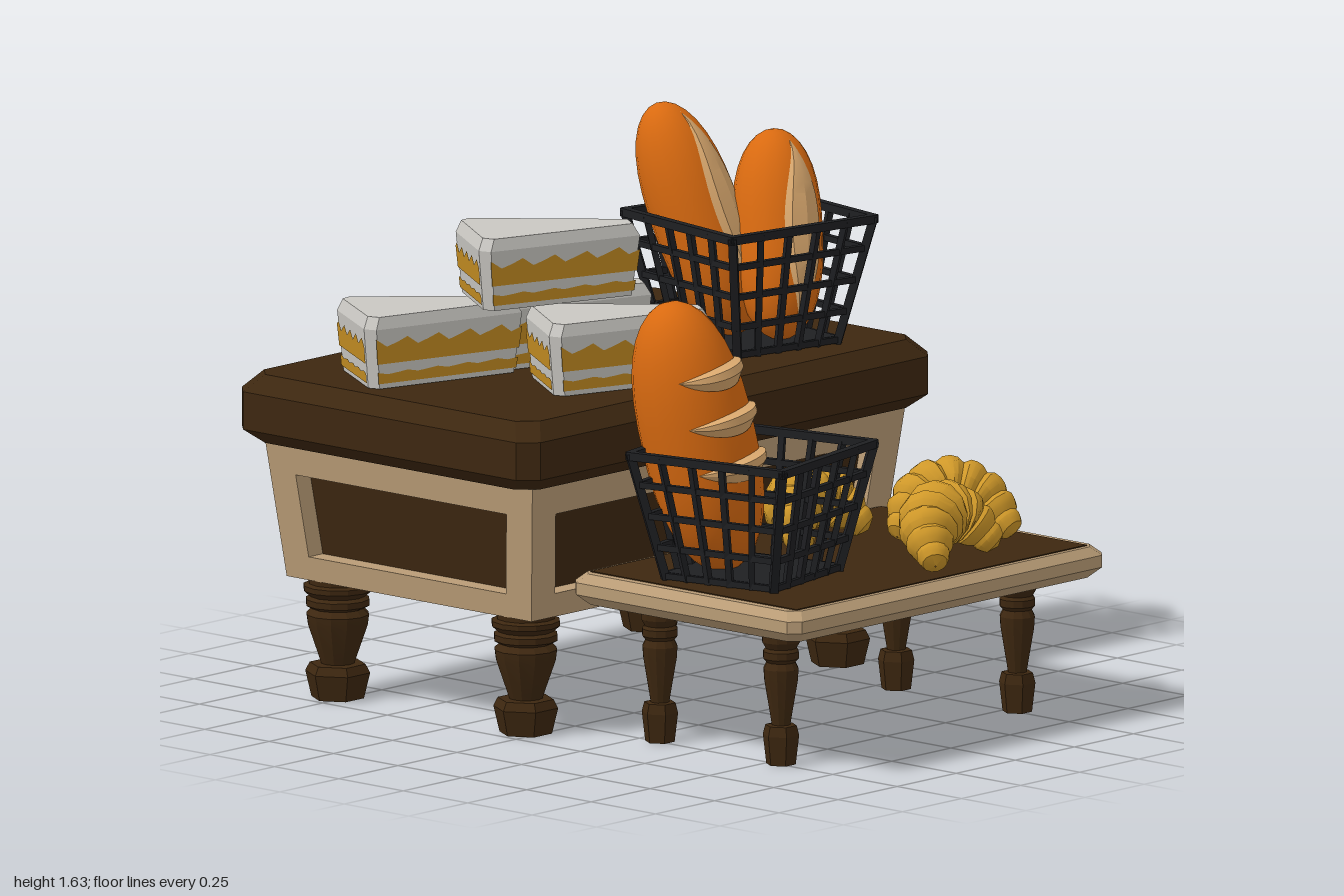
import * as THREE from 'three';
import { mergeGeometries, toCreasedNormals } from 'three/addons/utils/BufferGeometryUtils.js';

const V = (x, y, z) => new THREE.Vector3(x, y, z);
const material = (name, color, double) => {
  const m = new THREE.MeshStandardMaterial({ color });
  m.name = name;
  if (double) m.side = THREE.DoubleSide;
  return m;
};

// Skin over a list of rings (or open rows) of points, counter-clockwise seen from the last ring
function loft(rings, { closed = true, start = false, end = false, crease = 0 } = {}) {
  const p = [];
  const tri = (...pts) => pts.forEach((v) => p.push(v.x, v.y, v.z));
  const n = rings[0].length;
  for (let r = 0; r < rings.length - 1; r++) {
    const a = rings[r], b = rings[r + 1];
    for (let i = 0; i < (closed ? n : n - 1); i++) {
      const j = (i + 1) % n;
      tri(a[i], a[j], b[j]);
      tri(a[i], b[j], b[i]);
    }
  }
  const first = rings[0], last = rings[rings.length - 1];
  for (let i = 1; i < n - 1; i++) {
    if (start) tri(first[0], first[i + 1], first[i]);
    if (end) tri(last[0], last[i], last[i + 1]);
  }
  const g = new THREE.BufferGeometry();
  g.setAttribute('position', new THREE.Float32BufferAttribute(p, 3));
  g.computeVertexNormals();
  return crease ? toCreasedNormals(g, crease) : g;
}

// Square bar between two points
function bar(a, b, w) {
  const g = new THREE.BoxGeometry(w, w, a.distanceTo(b) + w * 0.6);
  const o = new THREE.Object3D();
  o.position.copy(a).lerp(b, 0.5);
  o.lookAt(b);
  o.updateMatrix();
  return g.applyMatrix4(o.matrix);
}

export function createModel() {
  const root = new THREE.Group();
  root.name = 'bakeryDisplay';
  const darkWood = material('dark wood', 0x3d2710);
  const paleWood = material('pale wood', 0xb99c76);
  const wire = material('black basket', 0x1e1f22);
  const crust = material('orange crust', 0xd96a10);
  const crumb = material('cream crumb', 0xd9a86e, true);
  const pastry = material('golden pastry', 0xcf9829);
  const bread = material('white bread', 0xc9c7c2);
  const filling = material('yellow filling', 0xc48d22, true);
  const add = (name, geo, mat, parent = root) => {
    const m = new THREE.Mesh(geo, mat);
    m.name = name;
    parent.add(m);
    return m;
  };

  // Slab with cut corners; steps are [y, inset]
  const slab = (cx, cz, hx, hz, cut, steps) => loft(steps.map(([y, d]) => {
    const x = hx - d, z = hz - d;
    return [[x, z - cut], [x, -z + cut], [x - cut, -z], [-x + cut, -z],
      [-x, -z + cut], [-x, z - cut], [-x + cut, z], [x - cut, z]].map(([a, b]) => V(cx + a, y, cz + b));
  }), { start: true, end: true });

  // Big table top
  const cx = -0.42;
  add('tableTop', slab(cx, 0, 0.58, 0.87, 0.05, [[0.75, 0.045], [0.79, 0], [0.9, 0], [0.95, 0.045]]), darkWood);

  // Tapered apron with a recessed dark panel on each side
  const apron = new THREE.Group();
  apron.name = 'apron';
  apron.position.x = cx;
  root.add(apron);
  for (let k = 0; k < 4; k++) {
    const side = new THREE.Group();
    side.rotation.y = k * Math.PI / 2;
    apron.add(side);
    const [w, d] = k % 2 ? [0.79, 0.52] : [0.52, 0.79];
    const quad = (inset, y0, y1, deep) => [[-1, y0], [1, y0], [1, y1], [-1, y1]].map(([s, y]) => {
      const taper = (0.76 - y) * 0.11;
      return V(s * (w - inset - taper), y, d - taper - deep);
    });
    const hole = quad(0.1, 0.42, 0.66, 0), back = quad(0.1, 0.42, 0.66, 0.06);
    add('apronFrame', loft([quad(0, 0.35, 0.76, 0), hole, back]), paleWood, side);
    add('apronPanel', loft([back, back], { end: true }), darkWood, side);
  }
  const floor = new THREE.PlaneGeometry(0.95, 1.49).rotateX(Math.PI / 2).translate(0, 0.35, 0);
  add('apronBottom', floor, paleWood, apron);

  // Side table
  add('sideTableTop', slab(0.56, -0.005, 0.44, 0.665, 0.03, [[0.4, 0.03], [0.43, 0], [0.465, 0], [0.49, 0.025]]), paleWood);
  add('sideTableInlay', new THREE.BoxGeometry(0.8, 0.006, 1.23).translate(0.56, 0.49, -0.005), darkWood);

  // Turned legs on six-sided feet
  const lathe = (pts, sides) => toCreasedNormals(new THREE.LatheGeometry(pts.map(([r, y]) => new THREE.Vector2(r, y)), sides), 0.3);
  const legTurning = [[0.045, 0.09], [0.055, 0.12], [0.088, 0.215], [0.092, 0.245], [0.075, 0.262],
    [0.093, 0.272], [0.093, 0.29], [0.08, 0.298], [0.1, 0.315], [0.1, 0.33], [0.085, 0.336], [0.085, 0.36]];
  const legFoot = [[0, 0], [0.077, 0], [0.095, 0.075], [0.082, 0.1], [0, 0.105]];
  const addLeg = (name, x, z, sr, sy) => {
    const g = new THREE.Group();
    g.name = name;
    g.position.set(x, 0, z);
    g.scale.set(sr, sy, sr);
    root.add(g);
    add('legTurning', lathe(legTurning, 12), darkWood, g);
    add('legFoot', lathe(legFoot, 6), darkWood, g);
  };
  for (const z of [0.66, -0.66]) for (const x of [-0.775, -0.045]) addLeg('tableLeg', x, z, 1, 1);
  for (const z of [0.49, -0.51]) for (const x of [0.32, 0.79]) addLeg('sideTableLeg', x, z, 0.56, 1.14);

  // Wire baskets with flared sides
  function basket(x, y, z, turn) {
    const parts = [];
    const at = (s, h, k) => {
      const half = 0.18 + 0.075 * h;
      return V(s * half, h * 0.37, half).applyAxisAngle(V(0, 1, 0), k * Math.PI / 2);
    };
    for (let k = 0; k < 4; k++) {
      for (const h of [0.02, 0.25, 0.5, 0.75, 0.98]) parts.push(bar(at(-1, h, k), at(1, h, k), h > 0.9 ? 0.024 : 0.018));
      for (const s of [-1, -0.6, -0.2, 0.2, 0.6]) parts.push(bar(at(s, 0, k), at(s, 0.98, k), s === -1 ? 0.024 : 0.018));
    }
    parts.push(new THREE.BoxGeometry(0.36, 0.015, 0.36).translate(0, 0.01, 0));
    const m = add('basket', mergeGeometries(parts), wire);
    m.position.set(x, y, z);
    m.rotation.y = turn;
  }
  basket(-0.2, 0.955, -0.455, -0.175);
  basket(0.54, 0.497, 0.34, 0.2);

  // Loaves: rounded body from a to b, with scores on the side facing f
  function loaf(a, b, R, f, scores) {
    const axis = b.clone().sub(a), half = axis.length() / 2, mid = a.clone().lerp(b, 0.5);
    axis.normalize();
    const F = f.clone().addScaledVector(axis, -f.dot(axis)).normalize(), G = axis.clone().cross(F);
    const point = (t, ang, off = 0) => {
      const r = R * Math.sqrt(Math.max(0, 1 - Math.abs(t) ** 2.6)) + off;
      return mid.clone().addScaledVector(axis, t * half).addScaledVector(F, r * Math.cos(ang)).addScaledVector(G, r * Math.sin(ang));
    };
    const rings = [];
    for (let k = 0; k <= 18; k++) {
      rings.push(Array.from({ length: 20 }, (_, i) => point(-Math.cos(k / 18 * Math.PI), i / 20 * Math.PI * 2)));
    }
    add('loaf', loft(rings, { crease: 0.8 }), crust);
    for (const score of scores) {
      const rows = [];
      for (let k = 0; k <= 16; k++) {
        const s = k / 8 - 1, w = 1 - s * s;
        rows.push([[-1, 0.002], [-0.7, 1], [0, 1], [1, 0.1]].map(([c, o]) => point(...score(s, c * w, 0.003 + o * w))));
      }
      add('loafScore', loft(rows, { closed: false, crease: 0.5 }), crumb);
    }
  }
  const longScore = [(s, c, o) => [0.02 + s * 0.86, c * 0.5, o * 0.012]];
  const crossScores = [0.44, 0.1, -0.24].map((t) => (s, c, o) => [t + 0.05 * s * s - c * 0.085, s * 1.0, o * 0.028]);
  loaf(V(-0.22, 0.97, -0.43), V(-0.45, 1.63, -0.335), 0.13, V(1, 0.2, -0.15), longScore);
  loaf(V(-0.08, 0.97, -0.46), V(-0.22, 1.55, -0.58), 0.13, V(1, 0.2, 0.15), longScore);
  loaf(V(0.465, 0.5, 0.36), V(0.36, 1.29, 0.5), 0.165, V(1, 0, -0.1), crossScores);

  // Croissants: arched crescents with stepped segments
  function croissant(path) {
    const ys = [0.525, 0.61, 0.635, 0.61, 0.525];
    const curve = new THREE.CatmullRomCurve3(path.map(([x, z], i) => V(x, ys[i], z)));
    const segs = 9, sub = 4, n = segs * sub, sides = 12;
    const g = new THREE.TubeGeometry(curve, n, 1, sides, false);
    const pos = g.attributes.position, v = V(0, 0, 0);
    for (let i = 0; i <= n; i++) {
      const s = i / n * 2 - 1, c = curve.getPointAt(i / n);
      // Each segment overlaps the next one towards the tips
      const k = s < 0 ? i % sub : (n - i) % sub;
      const step = [0.86, 0.99, 1.02, 1.0][k];
      const r = i === 0 || i === n ? 0.002 : (0.03 + 0.068 * (1 - Math.abs(s) ** 1.8)) * step;
      for (let j = 0; j <= sides; j++) {
        const q = i * (sides + 1) + j;
        v.fromBufferAttribute(pos, q).sub(c).multiplyScalar(r).add(c);
        pos.setXYZ(q, v.x, Math.max(v.y, 0.494), v.z);
      }
    }
    add('croissant', toCreasedNormals(g, 0.6), pastry);
  }
  croissant([[0.8, -0.49], [0.68, -0.475], [0.6, -0.41], [0.575, -0.32], [0.59, -0.22]]);
  croissant([[0.46, -0.24], [0.375, -0.18], [0.36, -0.08], [0.395, 0.01], [0.49, 0.07]]);
  croissant([[0.89, -0.32], [0.82, -0.25], [0.81, -0.16], [0.85, -0.07], [0.95, 0.01]]);

  // Sandwich wedges with two bands of filling on each long face
  const wedge = [[-0.14, 0], [0.14, 0], [0.165, 0.03], [0.035, 0.5], [-0.035, 0.5], [-0.165, 0.03]];
  const wedgePoint = ([u, v], y, s) => V(u * s, y, -(0.2 + (v - 0.2) * s));
  const wedgeScale = (y) => 0.92 + 0.08 * y / 0.175;
  function sandwich(x, y, z, turn) {
    const g = new THREE.Group();
    g.name = 'sandwich';
    g.position.set(x, y, z);
    g.rotation.y = turn;
    root.add(g);
    const rings = [[0, 0.92], [0.175, 1], [0.21, 0.93]].map(([h, s]) => wedge.map((p) => wedgePoint(p, h, s)));
    add('sandwichBread', loft(rings, { start: true, end: true }), bread, g);
    for (const e of [0, 2, 4]) {
      const a = wedge[e], b = wedge[e + 1];
      for (const [lo, hi, jag] of [[0.015, 0.045, 0.004], [0.073, 0.135, 0.014]]) {
        const row = (h, amount) => Array.from({ length: 15 }, (_, i) => {
          const t = i / 14, hh = h + amount * Math.sin(i * 2.1 + e);
          return wedgePoint([a[0] + (b[0] - a[0]) * t, a[1] + (b[1] - a[1]) * t], hh, wedgeScale(hh) + 0.02);
        });
        add('sandwichFilling', loft([row(lo, 0), row(hi, jag)], { closed: false }), filling, g);
      }
    }
  }
  sandwich(-0.58, 0.952, 0.275, -0.59);
  sandwich(-0.21, 0.952, 0.43, -0.59);
  sandwich(-0.67, 0.952, 0.72, -0.55);
  sandwich(-0.46, 1.17, 0.455, -0.59);

  return root;
}
